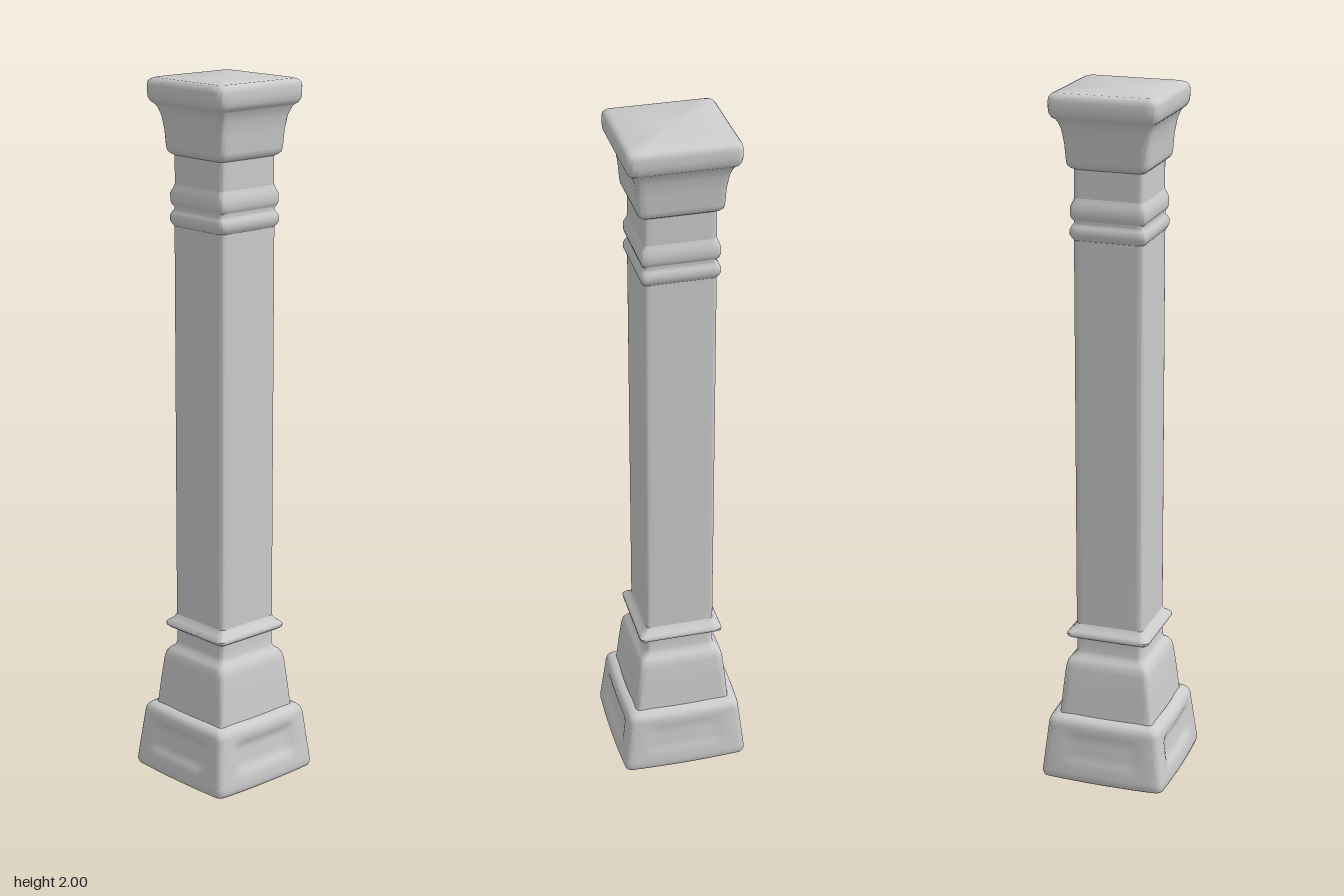
import * as THREE from 'three';
import { toCreasedNormals } from 'three/addons/utils/BufferGeometryUtils.js';

const STEPS = 20; // points along each straight side
const ARC = 4; // segments in each rounded corner
const DENTS = [0.011, 0.004, 0.004, 0.011]; // panel depth on +z, +x, -z, -x

const band = (v, a, b, soft) =>
  THREE.MathUtils.smoothstep(v, a, a + soft) * (1 - THREE.MathUtils.smoothstep(v, b - soft, b));

// One rounded-square cross-section, counter-clockwise seen from above
function ring(y, half, radius, bulge, dented) {
  const pts = [];
  const flat = half - radius;
  const lean = Math.min(1, y / 0.45);
  const add = (k, u, v) => {
    const [x, z] = [[u, v], [v, -u], [-u, -v], [-v, u]][k];
    pts.push([x + 0.003 * lean, y, z - 0.001 * lean]);
  };
  for (let k = 0; k < 4; k++) {
    for (let i = 0; i <= STEPS; i++) {
      const t = (i / STEPS) * 2 - 1;
      const u = t * flat;
      const dent = dented ? DENTS[k] * band(u, -0.125, 0.125, 0.035) * band(y, 0.05, 0.165, 0.035) : 0;
      add(k, u, half + bulge * (1 - t * t) - dent);
    }
    for (let i = 1; i < ARC; i++) {
      const a = (i / ARC) * Math.PI / 2;
      add(k, flat + radius * Math.sin(a), flat + radius * Math.cos(a));
    }
  }
  return pts;
}

// Joins rings from a [height, half-width] profile, closing either end if asked
function squareLoft(name, profile, { radius = 0.012, bulge = 0, dented = false, bottom = false, top = false } = {}) {
  const rings = profile.map(([y, half]) => ring(y, half, radius, bulge, dented));
  const n = rings[0].length;
  const pos = rings.flat(2);
  const index = [];
  for (let r = 0; r < rings.length - 1; r++) {
    for (let j = 0; j < n; j++) {
      const a = r * n + j, b = r * n + (j + 1) % n;
      index.push(a, b, b + n, a, b + n, a + n);
    }
  }
  const cap = (r, up) => {
    const c = pos.length / 3;
    pos.push(0, profile[r][0], 0);
    for (let j = 0; j < n; j++) {
      const a = r * n + j, b = r * n + (j + 1) % n;
      if (up) index.push(c, a, b);
      else index.push(c, b, a);
    }
  };
  if (bottom) cap(0, false);
  if (top) cap(rings.length - 1, true);
  const geo = new THREE.BufferGeometry();
  geo.setAttribute('position', new THREE.Float32BufferAttribute(pos, 3));
  geo.setIndex(index);
  const mesh = new THREE.Mesh(toCreasedNormals(geo, 0.85), new THREE.MeshStandardMaterial({ color: 0xcccccc }));
  mesh.name = name;
  return mesh;
}

export function createModel() {
  const column = new THREE.Group();
  column.name = 'column';

  // Flared foot with a shallow sunken panel on each face
  const foot = [[0, 0.172], [0.006, 0.181], [0.016, 0.184]];
  for (let i = 0; i <= 16; i++) foot.push([0.03 + i * 0.009, 0.183 - i * 0.001]);
  foot.push([0.183, 0.164], [0.191, 0.157], [0.195, 0.145], [0.197, 0.138]);
  column.add(squareLoft('foot', foot, { radius: 0.02, bulge: 0.005, dented: true, bottom: true }));

  // Tapered block above the foot
  column.add(squareLoft('plinth', [
    [0.19, 0.141], [0.205, 0.139], [0.27, 0.133], [0.335, 0.126], [0.352, 0.122],
    [0.363, 0.115], [0.372, 0.104], [0.385, 0.1], [0.43, 0.1],
  ], { radius: 0.014 }));

  // Thin ring at the foot of the shaft
  column.add(squareLoft('lowerCollar', [
    [0.422, 0.098], [0.428, 0.114], [0.434, 0.121], [0.442, 0.122], [0.449, 0.116],
    [0.456, 0.107], [0.468, 0.1],
  ]));

  column.add(squareLoft('shaft', [[0.46, 0.1], [0.8, 0.1], [1.2, 0.1], [1.61, 0.1]]));

  // Two rounded mouldings and the neck
  column.add(squareLoft('upperCollar', [
    [1.595, 0.099], [1.603, 0.105], [1.613, 0.109], [1.625, 0.109], [1.635, 0.105],
    [1.642, 0.1], [1.65, 0.1], [1.656, 0.105], [1.666, 0.108], [1.688, 0.108],
    [1.7, 0.103], [1.712, 0.099],
  ]));
  column.add(squareLoft('neck', [[1.71, 0.099], [1.76, 0.099], [1.8, 0.099]]));

  // Flaring capital and its top slab
  column.add(squareLoft('capital', [
    [1.79, 0.098], [1.796, 0.108], [1.803, 0.114], [1.815, 0.116], [1.86, 0.119],
    [1.9, 0.125], [1.92, 0.132], [1.935, 0.141],
  ], { radius: 0.014 }));
  column.add(squareLoft('topSlab', [
    [1.928, 0.137], [1.935, 0.146], [1.945, 0.151], [1.96, 0.153], [1.98, 0.153],
    [1.99, 0.151], [1.996, 0.146], [2, 0.137],
  ], { radius: 0.018, top: true }));

  return column;
}
